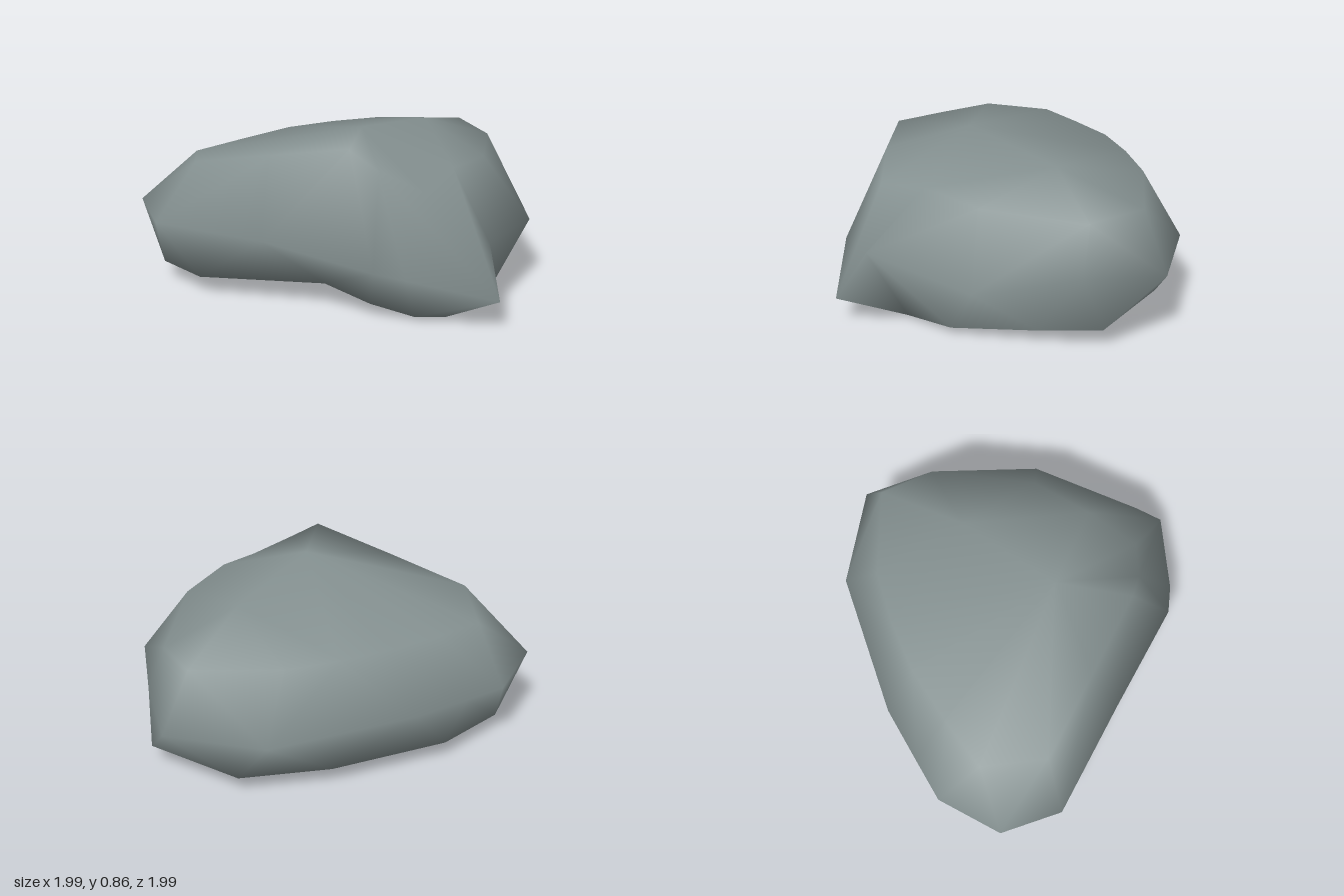
import * as THREE from 'three';

// Each row is one column of the boulder: shoulder, widest point, foot (x, y, z).
const COLUMNS = [
  [-.16, .665, -.83, -.16, .37, -1, .12, .11, -.86],
  [.12, .64, -.75, .2, .39, -.8, .33, .08, -.62],
  [.46, .67, -.32, .64, .33, -.49, .6, .04, -.27],
  [.54, .69, 0, .85, .4, .08, .67, .02, 0],
  [.61, .64, .28, .99, .16, .16, .68, 0, .2],
  [.46, .75, .44, .7, .28, .5, .6, .02, .34],
  [.33, .845, .51, .58, .31, .6, .42, .07, .46],
  [-.08, .76, .65, 0, .37, .79, .17, .125, .53],
  [-.5, .67, .79, -.59, .37, .99, -.4, .095, .87],
  [-.77, .63, .58, -.89, .4, .86, -.7, .1, .87],
  [-.74, .645, .3, -1, .37, .52, -.88, .1, .64],
  [-.69, .665, 0, -.95, .37, .3, -.87, .1, .25],
  [-.6, .67, -.25, -.88, .37, 0, -.64, .1, -.33],
  [-.48, .67, -.5, -.57, .35, -.7, -.38, .1, -.72],
];
const N = COLUMNS.length;
const PEAKS = [.1, .855, .2, 0, .78, -.37];
const BASES = [-.35, .01, -.22, -.68, .04, .66];
const CREASED = 3; // the first columns, at the back, have a crisp foot edge

export function createModel() {
  const group = new THREE.Group();
  group.name = 'boulder';
  const stone = new THREE.MeshStandardMaterial({ color: 0x859191 });
  stone.name = 'grey stone';

  const feet = COLUMNS.slice(0, CREASED).flatMap((c) => c.slice(6));
  const positions = [...COLUMNS.flat(), ...PEAKS, ...BASES, ...feet];

  const peakOf = (i) => N * 3 + (COLUMNS[i][2] < -.2 ? 1 : 0);
  const baseOf = (i) => N * 3 + 2 + (i >= 8 && i <= 11 ? 1 : 0);
  const footOf = (i) => (i < CREASED ? N * 3 + 4 + i : i * 3 + 2);

  // Longer reach means the diagonal that bulges outward
  const center = new THREE.Vector3(0, .4, 0);
  const point = (k) => new THREE.Vector3().fromArray(positions, k * 3);
  const reach = (k, m) => point(k).add(point(m)).multiplyScalar(.5).distanceTo(center);

  const indices = [];
  for (let i = 0; i < N; i++) {
    const j = (i + 1) % N;
    // Top, from the nearer peak to the shoulders
    indices.push(peakOf(i), j * 3, i * 3);
    if (peakOf(i) !== peakOf(j)) indices.push(peakOf(i), peakOf(j), j * 3);
    // Two bands of side faces
    for (let r = 0; r < 2; r++) {
      const a = i * 3 + r, b = j * 3 + r;
      if (reach(a, b + 1) > reach(b, a + 1)) indices.push(a, b, b + 1, a, b + 1, a + 1);
      else indices.push(a, b, a + 1, b, b + 1, a + 1);
    }
    // Underside, from the nearer low point to the feet
    indices.push(baseOf(i), footOf(i), footOf(j));
    if (baseOf(i) !== baseOf(j)) indices.push(baseOf(i), footOf(j), baseOf(j));
  }

  const geometry = new THREE.BufferGeometry();
  geometry.setAttribute('position', new THREE.Float32BufferAttribute(positions, 3));
  geometry.setIndex(indices);
  geometry.computeVertexNormals();

  const rock = new THREE.Mesh(geometry, stone);
  rock.name = 'rockBody';
  group.add(rock);
  return group;
}
